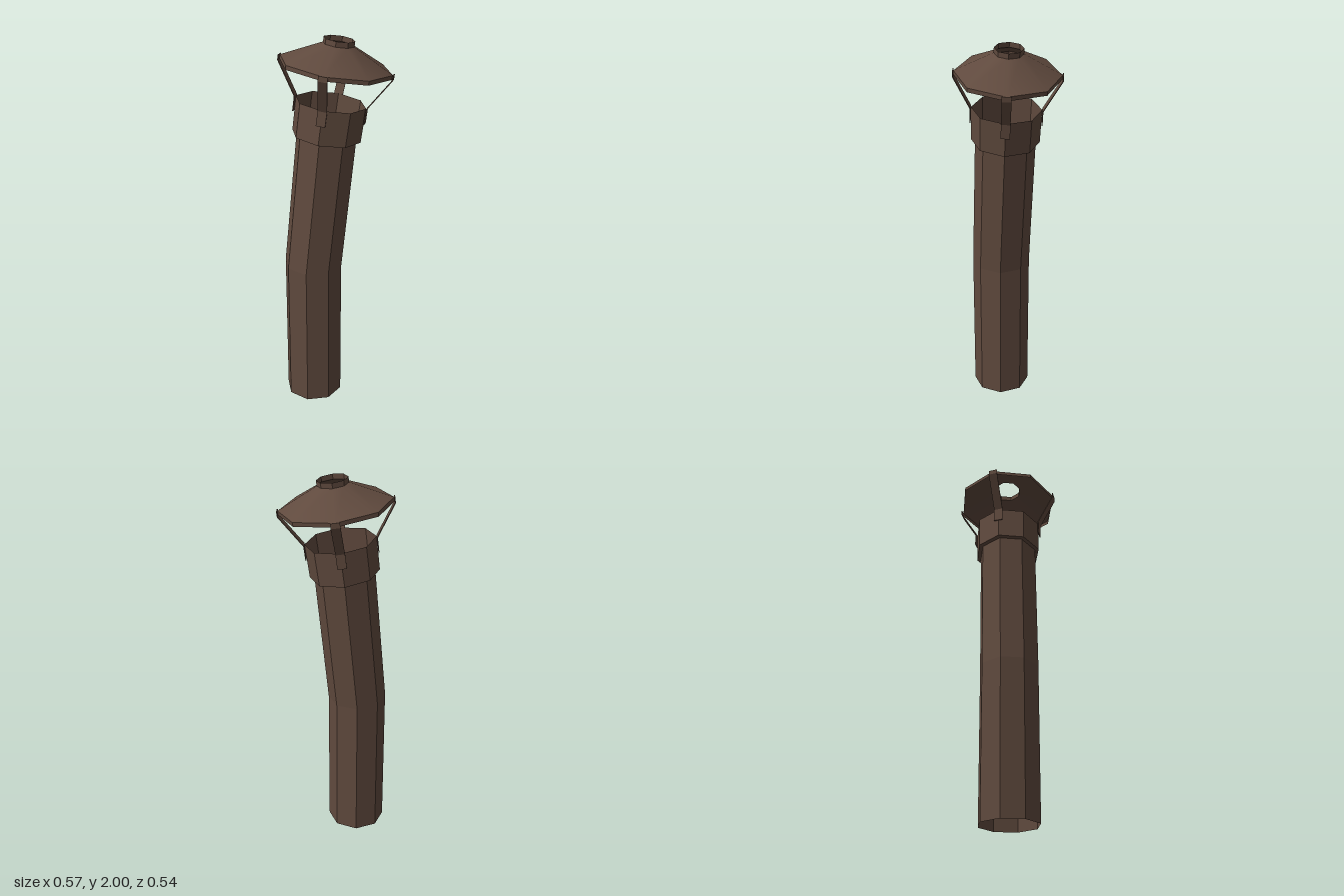
import * as THREE from 'three';

const SIDES = 8;

// Gives every face its own flat normal
function faceted(geometry) {
  const g = geometry.index ? geometry.toNonIndexed() : geometry;
  g.computeVertexNormals();
  return g;
}

// Open eight-sided sleeve between two heights, slightly oval in z
function sleeve(rTop, rBottom, y0, y1, oval = 1) {
  const g = new THREE.CylinderGeometry(rTop, rBottom, y1 - y0, SIDES, 1, true);
  g.translate(0, (y0 + y1) / 2, 0);
  g.scale(1, 1, oval);
  return g;
}

export function createModel() {
  const model = new THREE.Group();
  model.name = 'stovePipe';
  const rust = new THREE.MeshStandardMaterial({ color: 0x604a3e, side: THREE.DoubleSide });
  rust.name = 'brown metal';

  const add = (parent, name, geometry) => {
    const mesh = new THREE.Mesh(geometry, rust);
    mesh.name = name;
    parent.add(mesh);
    return mesh;
  };

  // Leaning frame shared by the collar, straps and cap
  const head = new THREE.Group();
  head.name = 'head';
  head.position.set(-0.045, 1.503, 0.013);
  const axis = new THREE.Vector3(0.128, 1, -0.041).normalize();
  head.quaternion.setFromUnitVectors(new THREE.Vector3(0, 1, 0), axis);
  model.add(head);

  // Pipe: upright below, bent towards the head above
  const rings = [
    { centre: new THREE.Vector3(-0.117, 0, 0.04), turn: new THREE.Quaternion(), r: 0.153 },
    { centre: new THREE.Vector3(-0.114, 0.79, 0.039), turn: new THREE.Quaternion().slerp(head.quaternion, 0.4), r: 0.153 },
    { centre: head.position, turn: head.quaternion, r: 0.154 },
  ];
  const pipe = new THREE.CylinderGeometry(1, 1, 2, SIDES, 2, true);
  const pos = pipe.attributes.position;
  const v = new THREE.Vector3();
  for (let i = 0; i < pos.count; i++) {
    v.fromBufferAttribute(pos, i);
    const ring = rings[Math.round(v.y + 1)];
    v.y = 0;
    v.multiplyScalar(ring.r).applyQuaternion(ring.turn).add(ring.centre);
    pos.setXYZ(i, v.x, v.y, v.z);
  }
  add(model, 'pipe', faceted(pipe));

  // Collar with the step beneath it
  add(head, 'collar', faceted(sleeve(0.179, 0.177, 0, 0.177, 0.985)));
  add(head, 'collarStep', faceted(sleeve(0.177, 0.154, -0.0005, 0, 0.985)));

  // Rain cap: brim edge, sloping cone and open top ring
  const oval = 0.935;
  add(head, 'capBrim', faceted(sleeve(0.283, 0.283, 0.343, 0.364, oval)));
  add(head, 'capCone', sleeve(0.078, 0.283, 0.364, 0.464, oval));
  add(head, 'capRing', faceted(sleeve(0.078, 0.078, 0.464, 0.491, oval)));

  // Four bent straps holding the cap above the collar
  const width = 0.046, thick = 0.005;
  for (let i = 0; i < 4; i++) {
    const alongX = i % 2 === 0;
    const rIn = alongX ? 0.179 : 0.177;
    const rOut = alongX ? 0.283 : 0.265;
    const path = [[rIn, 0.1], [rIn, 0.175], [rOut, 0.34], [rOut, 0.366]];
    const outer = path.map(([r, y]) => new THREE.Vector2(r + thick, y));
    const inner = path.map(([r, y]) => new THREE.Vector2(r, y)).reverse();
    const g = new THREE.ExtrudeGeometry(new THREE.Shape([...outer, ...inner]), { depth: width, bevelEnabled: false });
    g.translate(0, 0, -width / 2);
    g.rotateY(i * Math.PI / 2);
    add(head, 'strap' + (i + 1), g);
  }
  return model;
}
